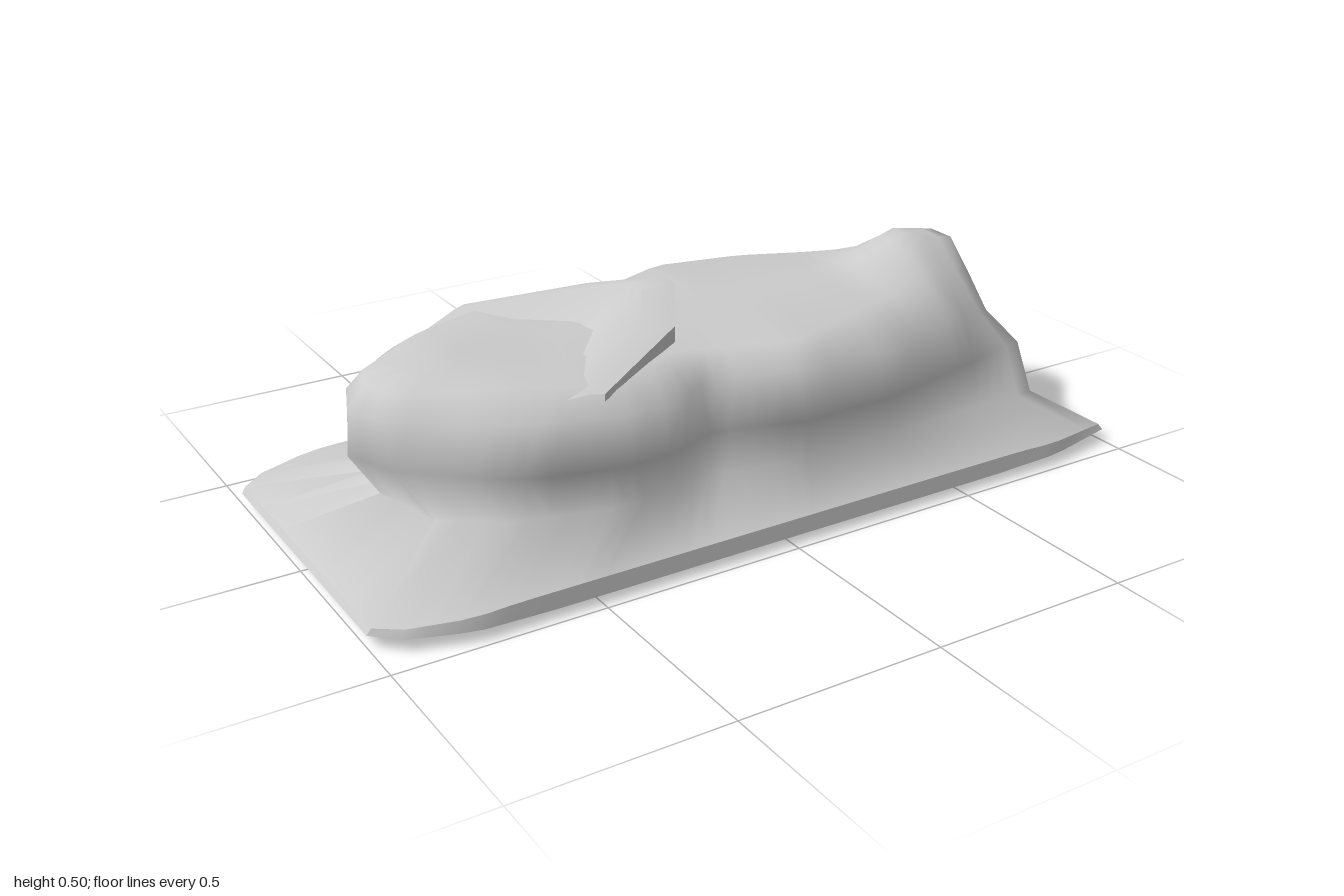
import * as THREE from 'three';
import { toCreasedNormals } from 'three/addons/utils/BufferGeometryUtils.js';

const material = new THREE.MeshStandardMaterial({ color: 0xcccccc, side: THREE.DoubleSide });

// Piecewise-linear lookup in [[x, value], ...]; a plain number is constant.
function at(keys, x) {
  if (typeof keys === 'number') return keys;
  if (x <= keys[0][0]) return keys[0][1];
  for (let i = 1; i < keys.length; i++) {
    const [x0, v0] = keys[i - 1], [x1, v1] = keys[i];
    if (x <= x1) return v0 + (v1 - v0) * (x - x0) / (x1 - x0);
  }
  return keys[keys.length - 1][1];
}

const SIDE = 36, END = 6;

// Closed loop: front side, foot end, back side, head end.
function ring({ x: [x0, x1], front, back = front, y, yFront = y, bulge = 0 }) {
  const pts = [];
  for (let i = 0; i < SIDE; i++) {
    const x = x0 + (x1 - x0) * i / SIDE;
    pts.push([x, at(yFront, x), at(front, x)]);
  }
  for (let i = 0; i < END; i++) {
    const t = i / END;
    pts.push([x1, at(yFront, x1) * (1 - t) + at(y, x1) * t, at(front, x1) * (1 - t) - at(back, x1) * t]);
  }
  for (let i = 0; i < SIDE; i++) {
    const x = x1 + (x0 - x1) * i / SIDE;
    pts.push([x, at(y, x), -at(back, x)]);
  }
  for (let i = 0; i < END; i++) {
    const t = i / END;
    pts.push([x0 - bulge * (1 - Math.abs(2 * t - 1)), at(y, x0), -at(back, x0) * (1 - t) + at(front, x0) * t]);
  }
  return pts;
}

// Skin a list of equal-length rows of points.
function loft(name, rows, closed, crease) {
  const n = rows[0].length, index = [];
  for (let r = 0; r < rows.length - 1; r++) {
    for (let i = 0; i < (closed ? n : n - 1); i++) {
      const j = (i + 1) % n, a = r * n, b = a + n;
      index.push(a + i, a + j, b + j, a + i, b + j, b + i);
    }
  }
  const geo = new THREE.BufferGeometry();
  geo.setAttribute('position', new THREE.Float32BufferAttribute(rows.flat(2), 3));
  geo.setIndex(index);
  const mesh = new THREE.Mesh(toCreasedNormals(geo, crease), material);
  mesh.name = name;
  return mesh;
}

export function createModel() {
  const model = new THREE.Group();
  model.name = 'shroudedFigure';

  // Thin hem of the cloth
  const hem = [[-1, 0.38], [-0.95, 0.43], [-0.8, 0.478], [0.8, 0.478], [1, 0.437]];
  const hemBottom = ring({ x: [-1, 1], front: hem, y: [[-1, 0.03], [-0.6, 0.02], [0.6, 0.02], [1, 0.03]] });
  const hemTop = ring({
    x: [-0.99, 0.99], front: hem.map(([x, z]) => [x, z - 0.008]),
    y: [[-0.99, 0.045], [-0.7, 0.058], [0.7, 0.058], [0.99, 0.045]],
  });

  // Waist where the spread cloth meets the body
  const waist = ring({
    x: [-0.75, 0.83], bulge: 0.05, y: 0.14,
    front: [[-0.75, 0.18], [-0.62, 0.28], [-0.37, 0.35], [-0.12, 0.325], [0.1, 0.355], [0.4, 0.355], [0.83, 0.34]],
    back: [[-0.75, 0.18], [-0.62, 0.27], [-0.37, 0.34], [0.2, 0.36], [0.83, 0.355]],
  });

  // Widest line of the body
  const belly = ring({
    x: [-0.82, 0.84], bulge: 0.05, y: 0.25,
    front: [[-0.82, 0.12], [-0.66, 0.27], [-0.55, 0.33], [-0.37, 0.375], [-0.25, 0.37], [-0.12, 0.32], [0.1, 0.385], [0.35, 0.38], [0.6, 0.325], [0.84, 0.27]],
    back: [[-0.82, 0.12], [-0.66, 0.26], [-0.55, 0.3], [-0.37, 0.345], [-0.12, 0.365], [0.2, 0.395], [0.35, 0.39], [0.6, 0.345], [0.84, 0.31]],
  });

  // Upper edge of the arms and legs
  const shoulder = ring({
    x: [-0.82, 0.78], bulge: 0.04,
    y: [[-0.82, 0.36], [-0.6, 0.375], [0.6, 0.375], [0.78, 0.33]],
    front: [[-0.82, 0.11], [-0.66, 0.26], [-0.55, 0.33], [-0.37, 0.388], [-0.25, 0.38], [-0.12, 0.305], [0.1, 0.39], [0.35, 0.39], [0.6, 0.3], [0.78, 0.21]],
    back: [[-0.82, 0.11], [-0.66, 0.25], [-0.42, 0.335], [0.2, 0.355], [0.35, 0.345], [0.6, 0.27], [0.78, 0.21]],
  });

  // Edge of the flat top, then the ridge from head to feet
  const crown = ring({
    x: [-0.79, 0.8], bulge: 0.03,
    y: [[-0.79, 0.41], [-0.6, 0.42], [-0.3, 0.41], [0.5, 0.418], [0.66, 0.425], [0.8, 0.4]],
    front: [[-0.79, 0.08], [-0.6, 0.2], [-0.4, 0.28], [-0.15, 0.2], [0.12, 0.3], [0.4, 0.21], [0.6, 0.15], [0.8, 0.11]],
    back: [[-0.79, 0.08], [-0.6, 0.2], [-0.4, 0.28], [-0.15, 0.22], [0.12, 0.32], [0.34, 0.27], [0.6, 0.15], [0.8, 0.11]],
  });
  const ridge = (width) => ring({
    x: [-0.74, 0.795], front: width,
    y: [[-0.74, 0.425], [-0.64, 0.438], [-0.4, 0.425], [0.48, 0.43], [0.66, 0.5], [0.795, 0.475]],
  });
  const ridgeLine = ridge(0);

  model.add(loft('hemEdge', [hemBottom, hemTop], true, 0.6));
  model.add(loft('clothCover', [hemTop, waist, belly, shoulder, crown, ridge(0.04), ridgeLine], true, 1.7));

  // Hollow inside of the cloth, following the cover, with one fold sagging below the hem
  const inside = (row) => row.map(([x, y, z]) => [x * 0.97, y - 0.025, z * 0.93]);
  const sag = ring({
    x: [-0.88, 0.92], y: 0.065, back: 0.405,
    front: [[-0.88, 0.33], [-0.7, 0.4], [-0.5, 0.37], [-0.3, 0.37], [0.1, 0.405], [0.92, 0.4]],
    yFront: [[-0.88, 0.065], [-0.6, 0.04], [-0.45, 0], [-0.35, 0], [0.1, 0.055], [0.92, 0.065]],
  });
  model.add(loft('clothLining', [...[ridgeLine, crown, shoulder, belly, waist].map(inside), sag, hemBottom], true, 1.7));

  // Hood lapping over the chest: where it settles on the head, fold, lip and lip foot
  const lip = [[-0.42, 0.41, -0.335], [-0.15, 0.455, -0.2], [-0.04, 0.5, -0.04], [-0.035, 0.5, 0.02], [-0.12, 0.455, 0.16], [-0.4, 0.41, 0.325]];
  const lipFoot = lip.map(([x, y, z]) => [x, Math.min(y - 0.035, 0.4), z]);
  const fold = lip.map(([x, y, z], i) => [x - (i % 5 ? 0.09 : 0.03), y, z * 0.95]);
  const settle = lip.map(([x, , z], i) => [x - (i % 5 ? 0.24 : 0.12), i % 5 ? 0.415 : 0.39, z * 0.84]);
  model.add(loft('hoodLapel', [lipFoot, lip, fold, settle], false, 0.7));

  return model;
}
